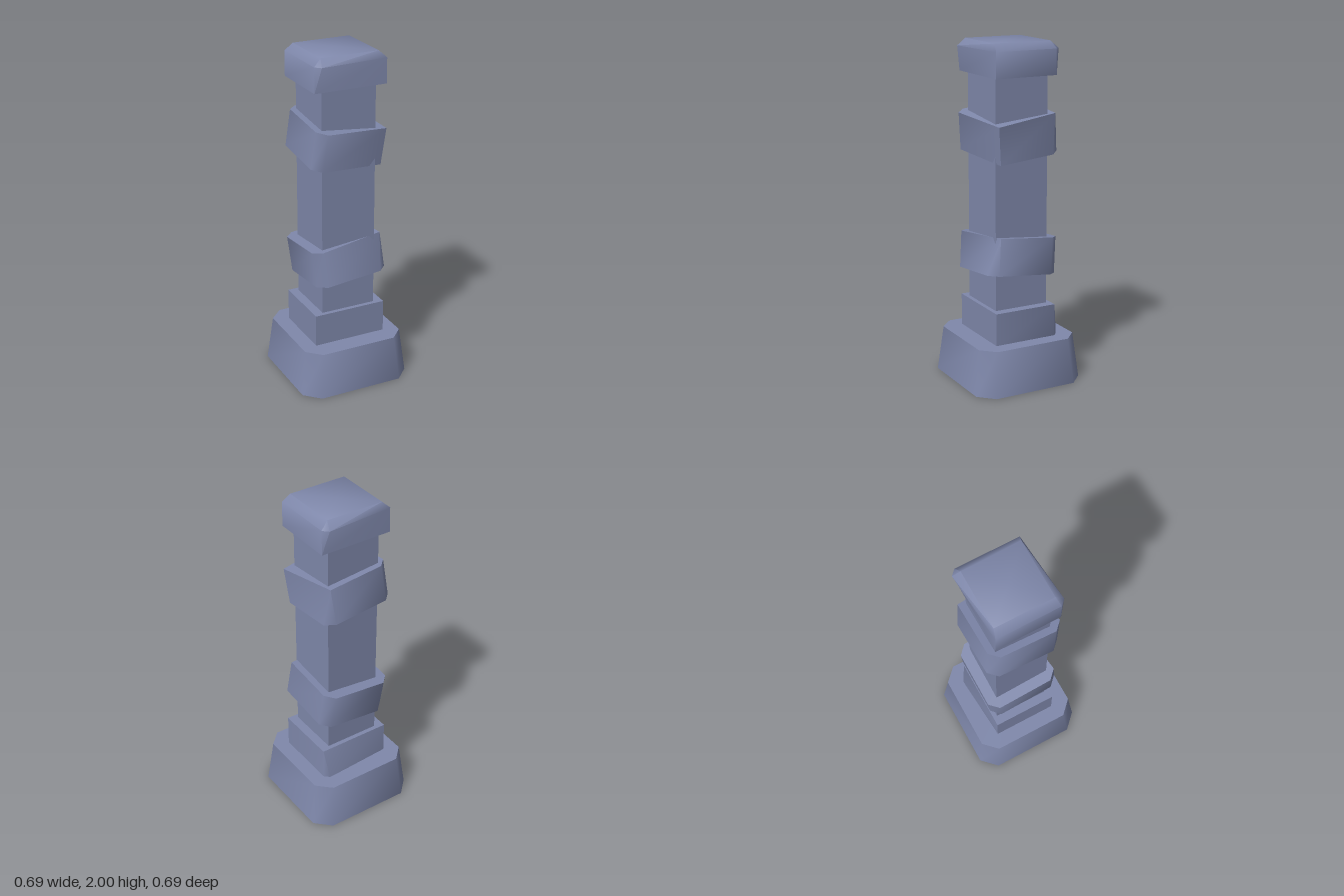
import * as THREE from 'three';
import { toCreasedNormals } from 'three/addons/utils/BufferGeometryUtils.js';

// Square ring with half-width h; each corner (front-left, back-left, back-right,
// front-right) is 'b' chamfered, or collapsed to its 'x' or 'z' chamfer point.
function ring(y, h, c, corners) {
  const signs = [[1, 1], [1, -1], [-1, -1], [-1, 1]];
  return signs.flatMap(([sx, sz], i) => {
    const onX = new THREE.Vector3(sx * h, y, sz * c);
    const onZ = new THREE.Vector3(sx * c, y, sz * h);
    if (corners[i] === 'x') return [onX, onX];
    if (corners[i] === 'z') return [onZ, onZ];
    return sx * sz > 0 ? [onZ, onX] : [onX, onZ];
  });
}

// Closed solid through a stack of rings, bottom to top
function loft(rings) {
  const pos = [];
  const tri = (a, b, c) => {
    if (a.equals(b) || b.equals(c) || a.equals(c)) return;
    for (const p of [a, b, c]) pos.push(p.x, p.y, p.z);
  };
  const bottom = rings[0], top = rings[rings.length - 1];
  const bottomMid = new THREE.Vector3(0, bottom[0].y, 0);
  const topMid = new THREE.Vector3(0, top[0].y, 0);
  for (let i = 0; i < 8; i++) {
    const j = (i + 1) % 8;
    for (let k = 0; k + 1 < rings.length; k++) {
      const lo = rings[k], hi = rings[k + 1];
      tri(lo[i], lo[j], hi[j]);
      tri(lo[i], hi[j], hi[i]);
    }
    tri(bottomMid, bottom[j], bottom[i]);
    tri(topMid, top[i], top[j]);
  }
  const geometry = new THREE.BufferGeometry();
  geometry.setAttribute('position', new THREE.Float32BufferAttribute(pos, 3));
  geometry.computeVertexNormals();
  return toCreasedNormals(geometry, 1.0);
}

export function createModel() {
  const model = new THREE.Group();
  const stone = new THREE.MeshStandardMaterial({ color: 0x7f88ab });
  stone.name = 'blue grey stone';

  const add = (name, geometry, y = 0, rx = 0, rz = 0) => {
    const mesh = new THREE.Mesh(geometry, stone);
    mesh.name = name;
    mesh.position.y = y;
    mesh.rotation.set(rx, 0, rz);
    model.add(mesh);
  };

  // Square shaft
  add('shaft', new THREE.BoxGeometry(0.334, 1.7, 0.334), 1.05);

  // Tapered foot with chamfered corners
  add('base', loft([ring(0, 0.343, 0.256, 'bbbb'), ring(0.27, 0.312, 0.232, 'bbbb')]));

  // Chipped collar on the foot
  add('collar', loft([ring(0.26, 0.222, 0.193, 'xbxx'), ring(0.462, 0.222, 0.193, 'xxxx')]));

  // Two crooked bands, leaning opposite ways
  add('lowerBand', loft([ring(-0.108, 0.222, 0.17, 'bbbb'), ring(0.108, 0.222, 0.17, 'xbbb')]),
    0.755, -0.1, 0.1);
  add('upperBand', loft([ring(-0.112, 0.222, 0.17, 'xbbb'), ring(0.112, 0.222, 0.17, 'xzbb')]),
    1.472, 0.1, -0.1);

  // Cap with a bevelled top
  add('cap', loft([
    ring(1.81, 0.222, 0.193, 'xxxx'),
    ring(1.958, 0.222, 0.191, 'xbxb'),
    ring(2, 0.177, 0.177, 'xxxx'),
  ]));

  return model;
}
